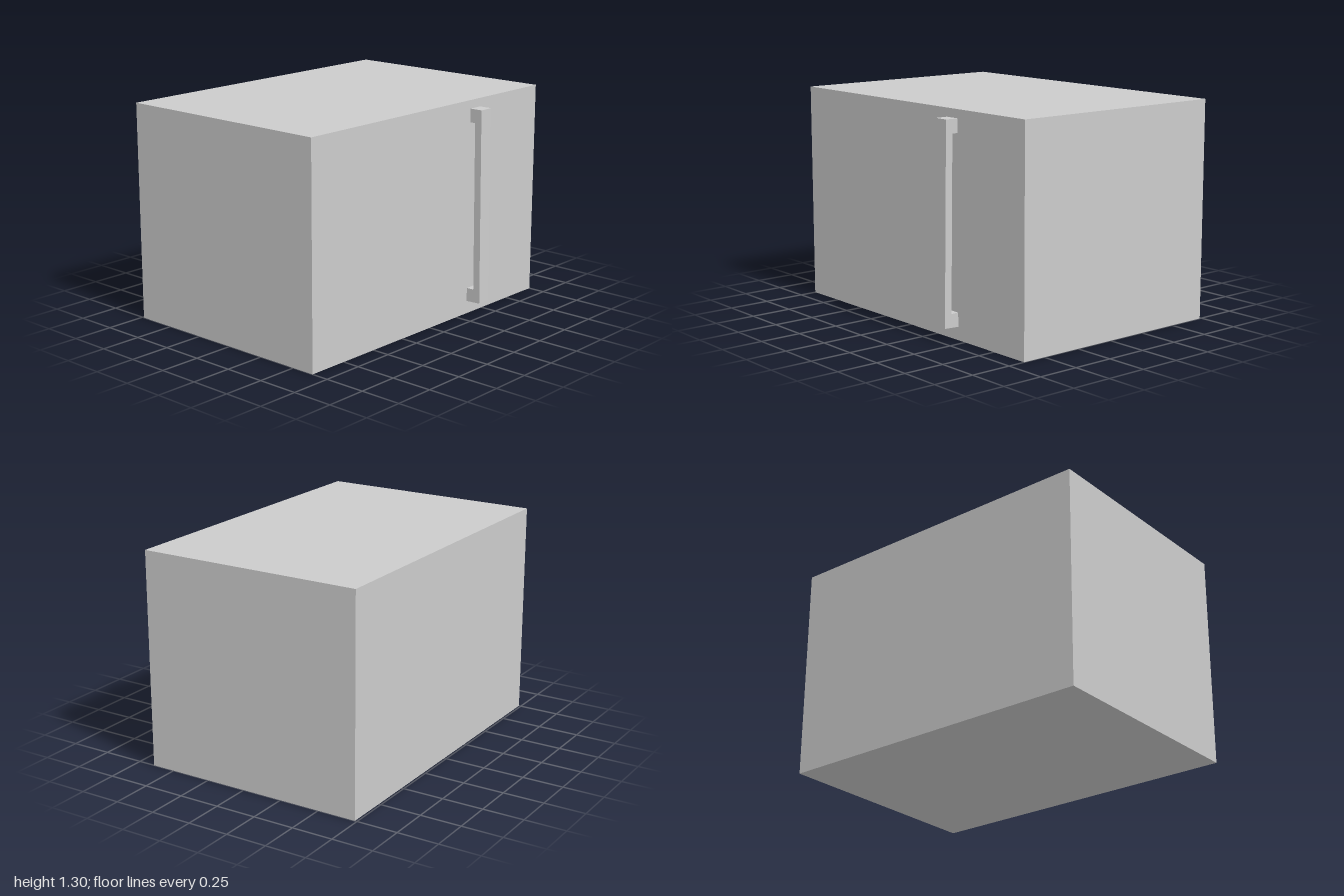
import * as THREE from 'three';

export function createModel() {
  const group = new THREE.Group();
  const material = new THREE.MeshStandardMaterial({ color: 0xcccccc, flatShading: true });

  // Plain box body
  const body = new THREE.Mesh(new THREE.BoxGeometry(2, 1.305, 1.381), material);
  body.name = 'body';
  body.position.set(0, 0.6525, -0.0465);
  group.add(body);

  // Slightly leaning bracket handle: side profile as (z, y), extruded across x
  const back = 0.644;
  const profile = new THREE.Shape([
    [back, 0.078], [0.739, 0.082], [0.723, 1.254], [back, 1.254],
    [back, 1.173], [0.679, 1.173], [0.692, 0.16], [back, 0.16],
  ].map(([z, y]) => new THREE.Vector2(z, y)));
  const handleGeometry = new THREE.ExtrudeGeometry(profile, { depth: 0.091, bevelEnabled: false });
  handleGeometry.rotateY(-Math.PI / 2);
  const handle = new THREE.Mesh(handleGeometry, material);
  handle.name = 'handle';
  handle.position.x = 0.441;
  group.add(handle);

  return group;
}
